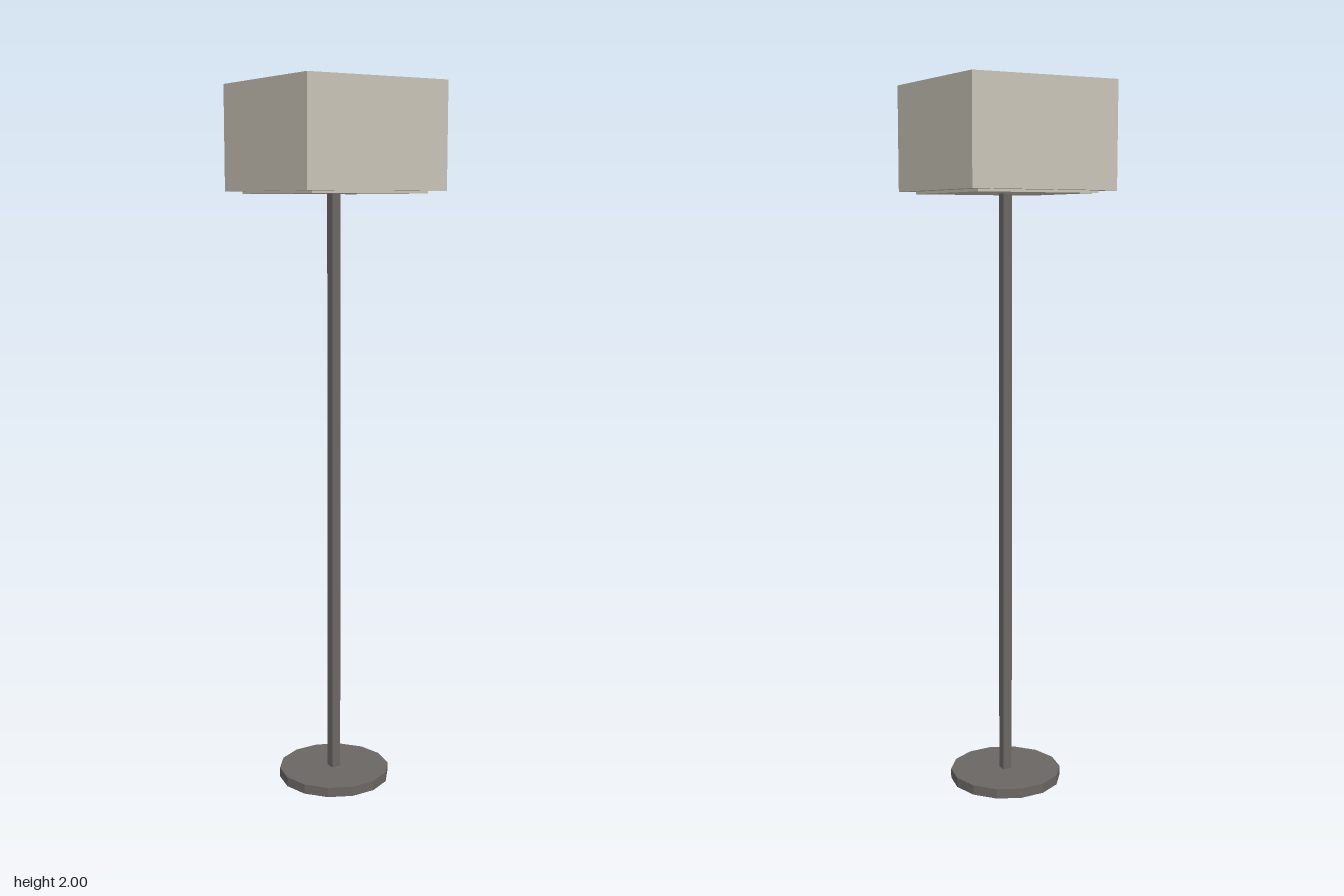
import * as THREE from 'three';

export function createModel() {
  const group = new THREE.Group();
  group.name = 'floorLamp';

  const metal = new THREE.MeshStandardMaterial({ color: 0x6a6664 });
  metal.name = 'dark grey metal';
  const fabric = new THREE.MeshStandardMaterial({ color: 0xc9c4b8 });
  fabric.name = 'beige shade';

  // Adds a part standing on the height yBottom
  const add = (name, geometry, material, yBottom, height) => {
    const mesh = new THREE.Mesh(geometry, material);
    mesh.name = name;
    mesh.position.y = yBottom + height / 2;
    group.add(mesh);
    return mesh;
  };

  // Fourteen-sided foot with corners on the x axis, faceted rim
  const foot = new THREE.CylinderGeometry(0.161, 0.161, 0.028, 14).rotateY(Math.PI / 2).toNonIndexed();
  foot.computeVertexNormals();
  add('base', foot, metal, 0, 0.028);

  // Square pole up to the underside of the shade
  add('pole', new THREE.BoxGeometry(0.027, 1.68, 0.027), metal, 0.025, 1.68);

  // Box shade with a thin diffuser panel below
  add('shade', new THREE.BoxGeometry(0.443, 0.292, 0.443), fabric, 1.708, 0.292);
  add('diffuserPanel', new THREE.BoxGeometry(0.37, 0.008, 0.37), fabric, 1.701, 0.008);

  return group;
}
